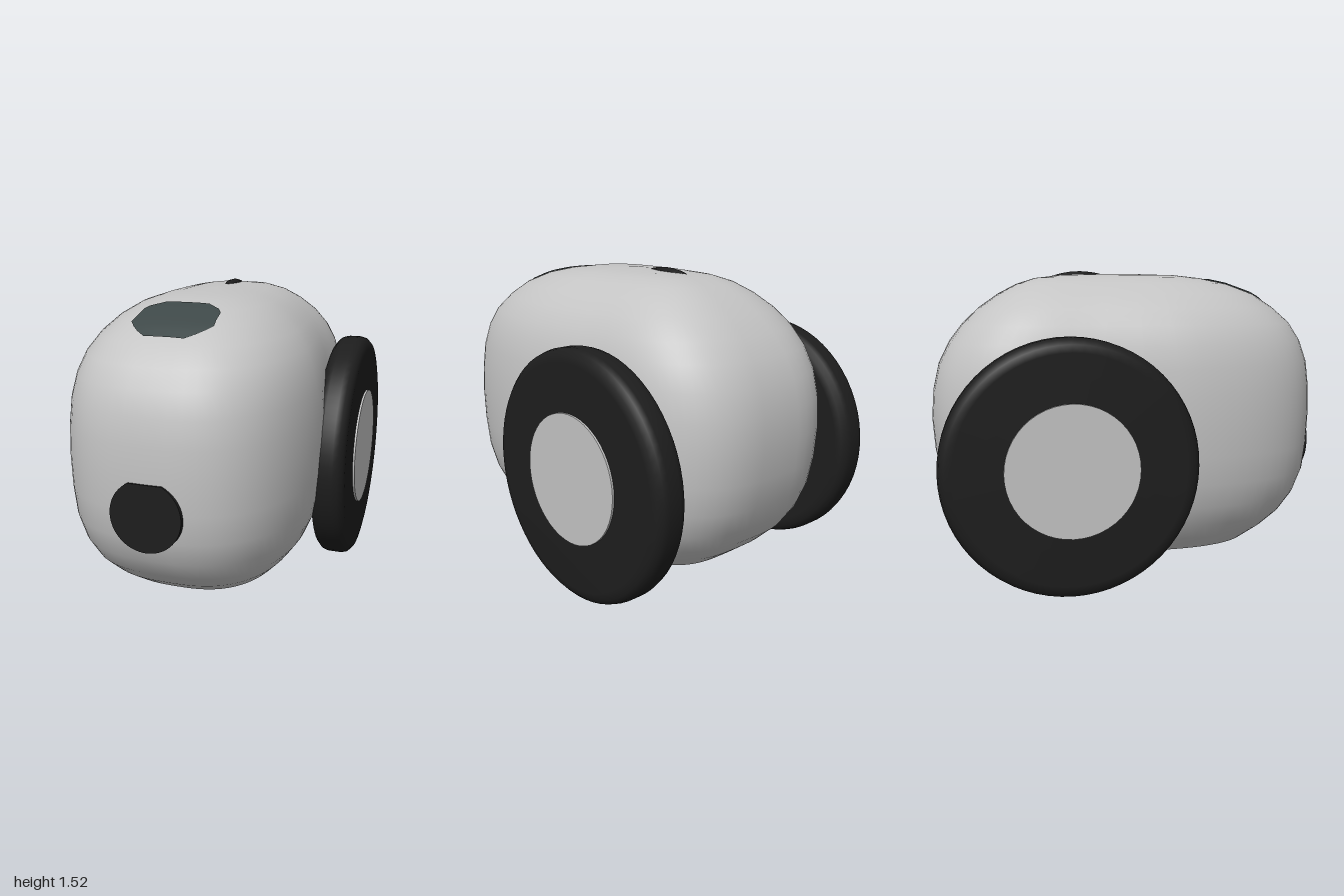
import * as THREE from 'three';

const mat = (name, color, side = THREE.FrontSide) => {
  const m = new THREE.MeshStandardMaterial({ color, side });
  m.name = name;
  return m;
};

// Body levels: height, half width, front z, back z
const LEVELS = [
  [0.11, 0.415, 0.66, -0.66], [0.18, 0.475, 0.765, -0.755], [0.26, 0.53, 0.855, -0.84],
  [0.36, 0.572, 0.925, -0.91], [0.48, 0.6, 0.97, -0.96], [0.62, 0.613, 0.987, -0.988],
  [0.78, 0.618, 0.993, -1.0], [0.92, 0.613, 0.99, -0.99], [1.05, 0.6, 0.975, -0.96],
  [1.16, 0.576, 0.937, -0.905], [1.25, 0.538, 0.88, -0.835], [1.33, 0.482, 0.79, -0.75],
  [1.4, 0.405, 0.685, -0.65], [1.45, 0.325, 0.55, -0.555], [1.48, 0.235, 0.41, -0.46],
  [1.495, 0.15, 0.28, -0.33], [1.503, 0.01, 0.02, -0.02],
];
// Sides pinch in beside the wheels
const waist = (z) => 1 - 0.085 * Math.exp(-(((z + 0.27) / 0.31) ** 2));
const power = (front) => (front ? 2.75 : 3);

function levelAt(y) {
  let i = 0;
  while (i < LEVELS.length - 2 && LEVELS[i + 1][0] < y) i++;
  const a = LEVELS[i], b = LEVELS[i + 1], t = (y - a[0]) / (b[0] - a[0]);
  return a.map((v, k) => v + (b[k] - v) * t);
}

// Height of the upper body surface over a point
function topAt(x, z) {
  let lo = 0.8, hi = 1.503;
  for (let i = 0; i < 30; i++) {
    const y = (lo + hi) / 2, [, w, zf, zb] = levelAt(y), n = power(z > 0);
    const d = Math.abs(x / (w * waist(z))) ** n + Math.abs(z / (z > 0 ? zf : zb)) ** n;
    if (d < 1) lo = y; else hi = y;
  }
  return lo;
}

// Rounded-oval ring of one level
function ring([y, w, zf, zb], count) {
  const pts = [];
  for (let i = 0; i < count; i++) {
    const a = (i / count) * Math.PI * 2, s = Math.sin(a), c = Math.cos(a), e = 2 / power(c > 0);
    const z = (c > 0 ? zf : zb) * Math.abs(c) ** e;
    pts.push([Math.sign(s) * Math.abs(s) ** e * w * waist(z), y, z]);
  }
  return pts;
}

function geometry(positions, index) {
  const g = new THREE.BufferGeometry();
  g.setAttribute('position', new THREE.Float32BufferAttribute(positions.flat(), 3));
  g.setIndex(index);
  g.computeVertexNormals();
  return g;
}

function bodyShell(count) {
  const pts = LEVELS.flatMap((l) => ring(l, count)), index = [];
  for (let r = 0; r < LEVELS.length - 1; r++) {
    for (let i = 0; i < count; i++) {
      const a = r * count + i, b = r * count + (i + 1) % count;
      index.push(a, b, a + count, b, b + count, a + count);
    }
  }
  const apex = pts.push([0, 1.503, 0]) - 1, last = (LEVELS.length - 1) * count;
  for (let i = 0; i < count; i++) index.push(last + i, last + (i + 1) % count, apex);
  return geometry(pts, index);
}

function bodyBase(count) {
  const pts = [...ring(LEVELS[0], count), [0, LEVELS[0][0], 0]], index = [];
  for (let i = 0; i < count; i++) index.push((i + 1) % count, i, count);
  return geometry(pts, index);
}

// Thin panel that follows the top of the body
function topPanel() {
  const outline = [[0.455, 0.11], [0.5, 0.17], [0.53, 0.19], [0.6, 0.193], [0.65, 0.2],
    [0.69, 0.17], [0.72, 0.14], [0.752, 0.095]];
  const pts = [], index = [], cols = 12;
  outline.forEach(([z, w], r) => {
    for (let c = 0; c <= cols; c++) {
      const x = w * (c / cols * 2 - 1);
      pts.push([x, topAt(x, z) + 0.006, z]);
      if (r && c) {
        const d = r * (cols + 1) + c, b = d - cols - 1;
        index.push(b - 1, d - 1, b, b, d - 1, d);
      }
    }
  });
  return geometry(pts, index);
}

export function createModel() {
  const model = new THREE.Group();
  model.name = 'wheeledRobot';
  const shell = mat('shell grey', 0xc4c4c4);
  const rubber = mat('rubber black', 0x1d1d1d);
  const glass = mat('panel slate', 0x3e4848, THREE.DoubleSide);
  const add = (name, geo, material, parent = model) => {
    const m = new THREE.Mesh(geo, material);
    m.name = name;
    parent.add(m);
    return m;
  };

  add('body', bodyShell(72), shell);
  add('bodyBase', bodyBase(72), shell);
  add('topPanel', topPanel(), glass);

  // Round front eye with a flattened top
  const eye = new THREE.Shape();
  const cut = Math.asin(0.15 / 0.17);
  eye.absarc(0, 0, 0.17, Math.PI - cut, Math.PI * 2 + cut, false);
  eye.closePath();
  add('frontEye', new THREE.ExtrudeGeometry(eye, { depth: 0.08, bevelEnabled: false, curveSegments: 40 }), rubber)
    .position.set(0, 0.605, 0.919);

  // Slim pointed sensor ridge on top
  const lens = [];
  for (let t = -1; t <= 1.001; t += 0.2) lens.push(new THREE.Vector2(Math.max(0, 1 - t * t), t));
  const ridge = add('topSensor', new THREE.LatheGeometry(lens, 8).rotateX(Math.PI / 2), rubber);
  ridge.scale.set(0.036, 0.026, 0.15);
  ridge.position.set(0, 1.489, -0.25);
  ridge.rotation.x = -0.06;

  // Wheels: rounded tyre and raised hub disc
  const tyre = [[0, -0.085], [0.54, -0.085], [0.575, -0.078], [0.597, -0.058], [0.605, -0.03],
    [0.605, 0.03], [0.597, 0.058], [0.575, 0.078], [0.54, 0.085], [0, 0.085]]
    .map(([r, y]) => new THREE.Vector2(r, y));
  for (const side of [1, -1]) {
    const wheel = new THREE.Group();
    wheel.name = side > 0 ? 'leftWheel' : 'rightWheel';
    wheel.position.set(side * 0.64, 0.605, -0.36);
    wheel.rotation.z = -side * Math.PI / 2;
    add('tyre', new THREE.LatheGeometry(tyre, 64), rubber, wheel);
    add('hub', new THREE.CylinderGeometry(0.312, 0.312, 0.03, 48), shell, wheel).position.y = 0.08;
    model.add(wheel);
  }
  return model;
}
